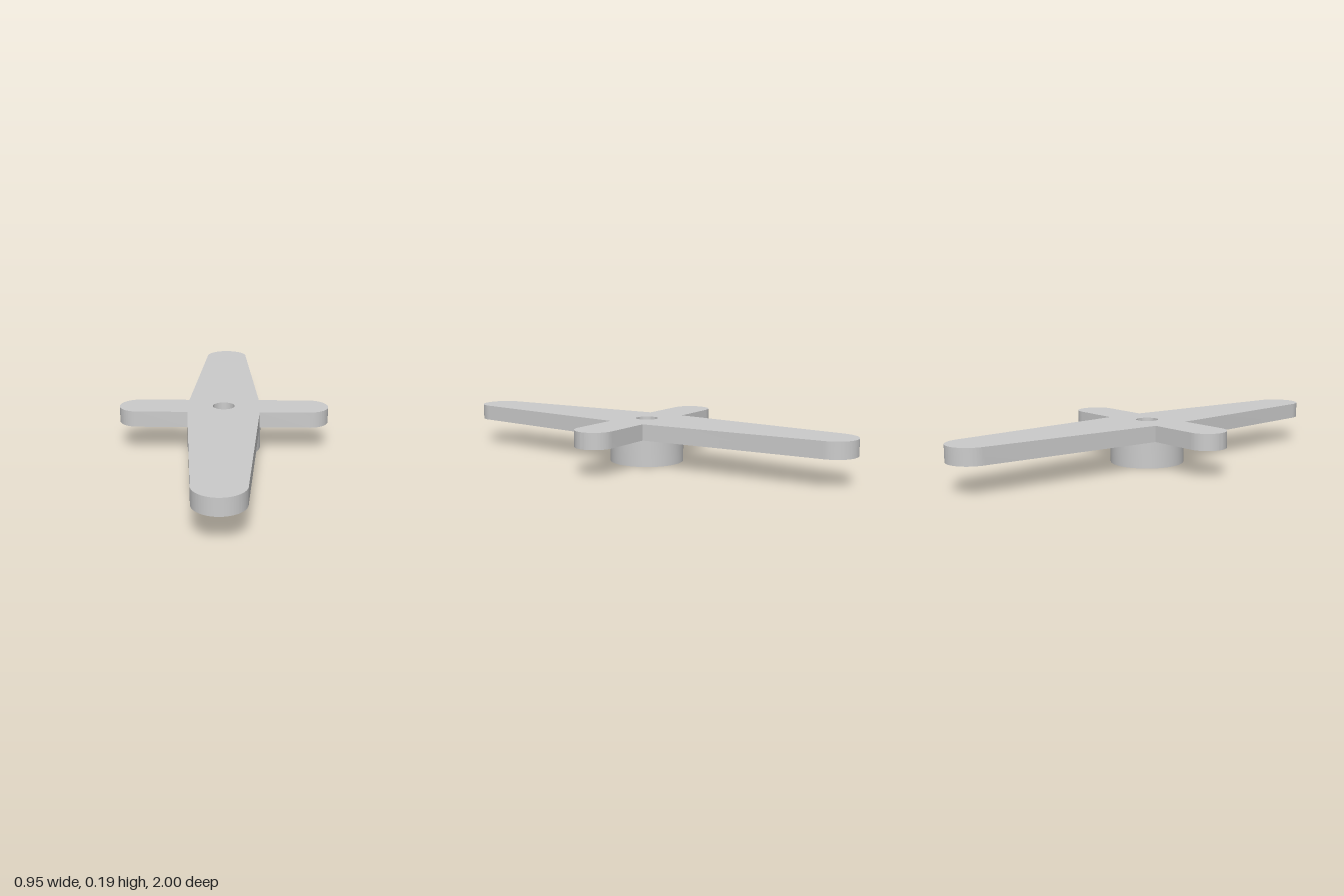
import * as THREE from 'three';
import { toCreasedNormals } from 'three/addons/utils/BufferGeometryUtils.js';

const HUB_RADIUS = 0.168, BORE_RADIUS = 0.118, HUB_HEIGHT = 0.122;
const PLATE_TOP = 0.194, HOLE_RADIUS = 0.05;
const LONG_TIP = 0.105, LONG_CENTRE = 1 - LONG_TIP;   // tapered arms along z
const SHORT_TIP = 0.088, SHORT_CENTRE = 0.475 - SHORT_TIP; // straight arms along x

export function createModel() {
  const model = new THREE.Group();
  const material = new THREE.MeshStandardMaterial({ color: 0xcccccc });
  const add = (name, geometry) => {
    const mesh = new THREE.Mesh(toCreasedNormals(geometry, 0.5), material);
    mesh.name = name;
    model.add(mesh);
    return mesh;
  };

  // Cross-shaped plate: two tapered long arms and two short arms in one outline
  const rootWidth = THREE.MathUtils.lerp(HUB_RADIUS, LONG_TIP, SHORT_TIP / LONG_CENTRE);
  const outline = new THREE.Shape();
  outline.moveTo(rootWidth, -SHORT_TIP);
  for (const s of [1, -1]) {
    const turn = s > 0 ? 0 : Math.PI;
    outline.lineTo(s * SHORT_CENTRE, -s * SHORT_TIP);
    outline.absarc(s * SHORT_CENTRE, 0, SHORT_TIP, turn - Math.PI / 2, turn + Math.PI / 2, false);
    outline.lineTo(s * rootWidth, s * SHORT_TIP);
    outline.lineTo(s * LONG_TIP, s * LONG_CENTRE);
    outline.absarc(0, s * LONG_CENTRE, LONG_TIP, turn, turn + Math.PI, false);
    outline.lineTo(-s * rootWidth, s * SHORT_TIP);
  }
  outline.closePath();

  // Screw hole through the centre
  outline.holes.push(new THREE.Path().absarc(0, 0, HOLE_RADIUS, 0, Math.PI * 2, true));

  const plate = new THREE.ExtrudeGeometry(outline, {
    depth: PLATE_TOP - HUB_HEIGHT, bevelEnabled: false, curveSegments: 32,
  });
  plate.rotateX(-Math.PI / 2);
  add('crossPlate', plate).position.y = HUB_HEIGHT;

  // Hub sleeve with an open bore, closed above by the plate
  const profile = [
    [BORE_RADIUS, HUB_HEIGHT], [BORE_RADIUS, 0], [HUB_RADIUS, 0], [HUB_RADIUS, HUB_HEIGHT],
  ].map(([r, y]) => new THREE.Vector2(r, y));
  add('hubSleeve', new THREE.LatheGeometry(profile, 64));

  return model;
}
